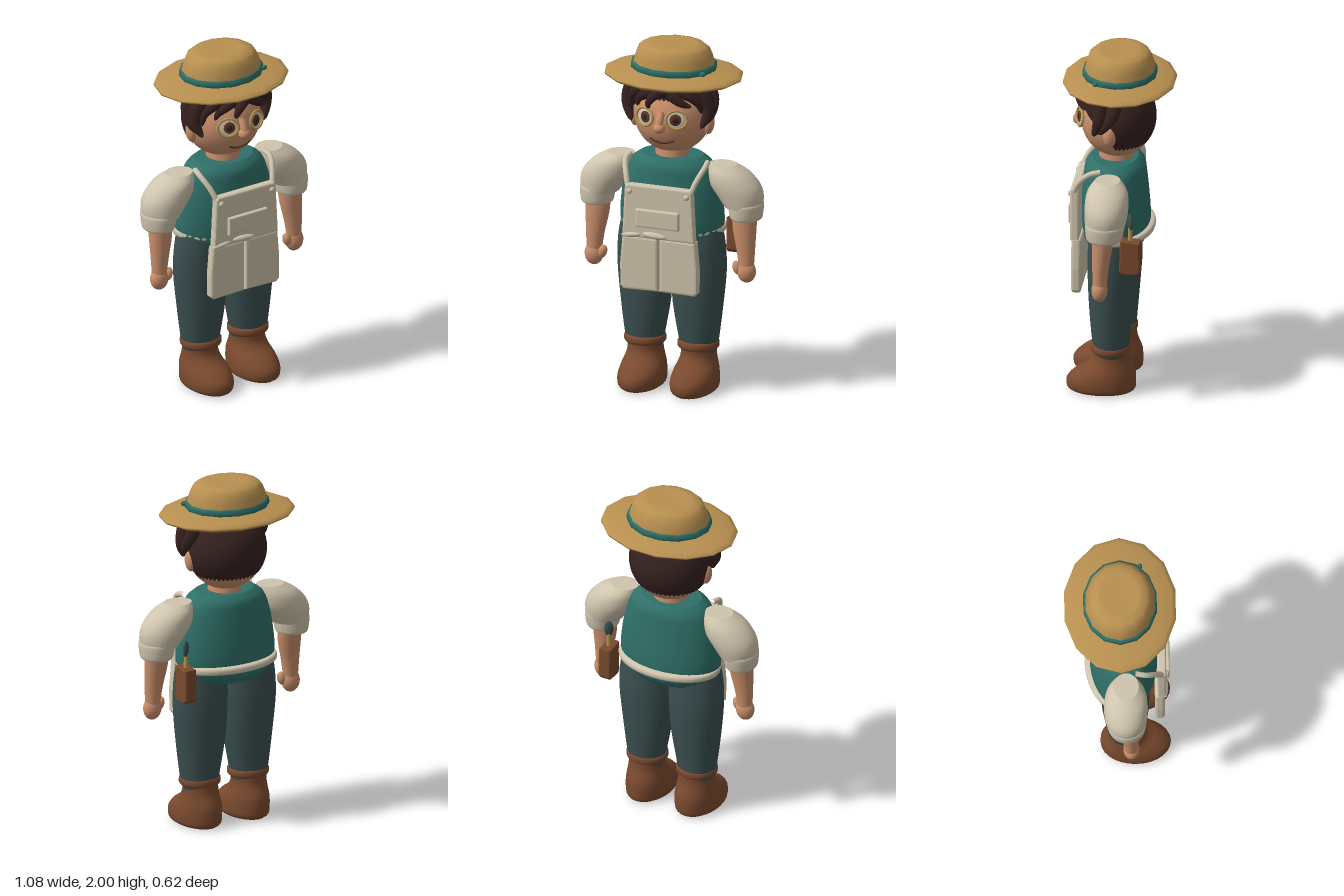
import * as THREE from 'three';

const mat = (name, color) => Object.assign(new THREE.MeshStandardMaterial({ color }), { name });

export function createModel() {
  const skin = mat('skin', 0xc98f6b), hair = mat('dark hair', 0x35211f), straw = mat('straw', 0xb89050);
  const teal = mat('teal cloth', 0x2f7068), cream = mat('cream cloth', 0xcfc4ad), denim = mat('trouser cloth', 0x3b4f50);
  const leather = mat('brown leather', 0x7a4a2e), iris = mat('iris brown', 0x5a3626);
  const model = new THREE.Group();
  model.name = 'gardener';

  const add = (name, geometry, material, pos = [0, 0, 0], rot = [0, 0, 0], scale = [1, 1, 1]) => {
    const mesh = new THREE.Mesh(geometry, material);
    mesh.name = name;
    mesh.position.set(...pos);
    mesh.rotation.set(...rot);
    mesh.scale.set(...scale);
    model.add(mesh);
    return mesh;
  };
  const ball = (name, material, pos, radii, rot) =>
    add(name, new THREE.SphereGeometry(1, 28, 20), material, pos, rot, radii);

  // Closed body through horizontal ellipses, each [y, centre x, centre z, radius x, radius z], bottom to top
  const loft = (name, material, rings, sides = 28) => {
    const centres = new THREE.CatmullRomCurve3(rings.map(r => new THREE.Vector3(r[1], r[0], r[2])), false, 'catmullrom');
    const radii = new THREE.CatmullRomCurve3(rings.map(r => new THREE.Vector3(r[3], r[4], 0)), false, 'catmullrom');
    const steps = (rings.length - 1) * 3, pos = [], index = [];
    const ring = t => {
      const c = centres.getPoint(t), r = radii.getPoint(t), start = pos.length / 3;
      for (let i = 0; i < sides; i++) {
        const a = i / sides * Math.PI * 2;
        pos.push(c.x + r.x * Math.cos(a), c.y, c.z + r.y * Math.sin(a));
      }
      return start;
    };
    for (let s = 0; s <= steps; s++) {
      const b = ring(s / steps);
      for (let i = 0; i < sides && s < steps; i++) {
        const p = b + i, n = b + (i + 1) % sides;
        index.push(p, p + sides, n, n, p + sides, n + sides);
      }
    }
    for (const t of [0, 1]) {
      const b = ring(t), c = centres.getPoint(t), m = pos.length / 3;
      pos.push(c.x, c.y, c.z);
      for (let i = 0; i < sides; i++) {
        const p = b + i, n = b + (i + 1) % sides;
        index.push(m, t ? n : p, t ? p : n);
      }
    }
    const g = new THREE.BufferGeometry();
    g.setAttribute('position', new THREE.Float32BufferAttribute(pos, 3));
    g.setIndex(index);
    g.computeVertexNormals();
    return add(name, g, material);
  };

  // Tube that swells and tapers along a curve
  const lock = (name, material, points, radius, width = t => Math.sqrt(Math.max(0, Math.min(1, t * 4 + 0.2) * (1 - t)))) => {
    const curve = new THREE.CatmullRomCurve3(points.map(p => new THREE.Vector3(...p)));
    const g = new THREE.TubeGeometry(curve, 16, radius, 10);
    const p = g.attributes.position, v = new THREE.Vector3();
    for (let i = 0; i < p.count; i++) {
      const t = Math.floor(i / 11) / 16, c = curve.getPointAt(t);
      v.fromBufferAttribute(p, i).sub(c).multiplyScalar(width(t)).add(c);
      p.setXYZ(i, v.x, v.y, v.z);
    }
    return add(name, g, material);
  };

  // Soft-edged plate from a front outline, its back at z
  const plate = (name, material, outline, z, depth, bevel = 0.012) => {
    const shape = new THREE.Shape(outline.map(p => new THREE.Vector2(...p)));
    const g = new THREE.ExtrudeGeometry(shape, {
      depth: depth - 2 * bevel, bevelThickness: bevel, bevelSize: bevel, bevelOffset: -bevel, bevelSegments: 3
    });
    return add(name, g, material, [0, 0, z + bevel]);
  };
  const lathe = (name, material, profile, zScale) =>
    add(name, new THREE.LatheGeometry(profile.map(p => new THREE.Vector2(...p)), 14, Math.PI / 2), material, [0, 0, 0], [0, 0, 0], [1, 1, zScale]);

  // Torso and neck
  loft('shirt', teal, [[0.85, 0, 0.02, 0.23, 0.15], [0.9, 0, 0.02, 0.285, 0.18], [1.0, 0, 0.02, 0.303, 0.19],
    [1.15, 0, 0.025, 0.288, 0.185], [1.25, 0, 0.025, 0.265, 0.175], [1.32, 0, 0.025, 0.232, 0.165], [1.36, 0, 0.025, 0.18, 0.13]], 36);
  add('neck', new THREE.CylinderGeometry(0.09, 0.1, 0.1, 24), skin, [0, 1.38, 0.02]);

  for (const s of [-1, 1]) {
    const side = s > 0 ? 'left' : 'right';
    // Arms
    loft(side + 'Sleeve', cream, [[1.1, s * 0.425, 0.03, 0.108, 0.11], [1.16, s * 0.405, 0.027, 0.133, 0.12], [1.22, s * 0.375, 0.027, 0.145, 0.122],
      [1.285, s * 0.34, 0.028, 0.12, 0.11], [1.332, s * 0.302, 0.03, 0.08, 0.07]]);
    loft(side + 'SleeveCuff', cream, [[1.03, s * 0.442, 0.032, 0.085, 0.095], [1.045, s * 0.442, 0.032, 0.092, 0.102],
      [1.11, s * 0.44, 0.03, 0.1, 0.11], [1.125, s * 0.44, 0.03, 0.094, 0.104]]);
    loft(side + 'Forearm', skin, [[0.74, s * 0.452, 0.056, 0.042, 0.038], [0.85, s * 0.447, 0.053, 0.053, 0.045],
      [0.97, s * 0.437, 0.045, 0.068, 0.056], [1.08, s * 0.435, 0.035, 0.072, 0.065]]);
    ball(side + 'Hand', skin, [s * 0.453, 0.725, 0.057], [0.054, 0.066, 0.045]);
    ball(side + 'Thumb', skin, [s * 0.4, 0.742, 0.065], [0.026, 0.04, 0.026], [0, 0, s * 0.3]);

    // Legs and boots
    loft(side + 'TrouserLeg', denim, [[0.22, s * 0.158, 0.025, 0.1, 0.096], [0.3, s * 0.16, 0.03, 0.115, 0.105], [0.5, s * 0.155, 0.03, 0.145, 0.122],
      [0.7, s * 0.158, 0.027, 0.16, 0.133], [0.85, s * 0.155, 0.03, 0.158, 0.13], [0.96, s * 0.15, 0.03, 0.145, 0.12]]);
    loft(side + 'BootCuff', leather, [[0.238, s * 0.158, 0.032, 0.106, 0.102], [0.25, s * 0.158, 0.032, 0.118, 0.112],
      [0.275, s * 0.158, 0.032, 0.118, 0.112], [0.287, s * 0.158, 0.032, 0.108, 0.104]]);
    loft(side + 'Boot', leather, [[0, s * 0.156, 0.085, 0.105, 0.17], [0.02, s * 0.156, 0.085, 0.127, 0.192], [0.07, s * 0.156, 0.083, 0.13, 0.194],
      [0.12, s * 0.156, 0.06, 0.122, 0.168], [0.16, s * 0.157, 0.035, 0.109, 0.128], [0.2, s * 0.158, 0.026, 0.101, 0.104], [0.25, s * 0.158, 0.026, 0.1, 0.1]]);

    // Apron strap, button and skirt panel
    lock(side + 'ApronStrap', cream, [[s * 0.185, 1.2, 0.235], [s * 0.21, 1.27, 0.2], [s * 0.235, 1.33, 0.14], [s * 0.23, 1.345, 0.08]], 0.016, () => 1);
    ball(side + 'ApronButton', cream, [s * 0.17, 1.185, 0.258], [0.016, 0.016, 0.012]);
    plate(side + 'ApronSkirt', cream, [[s * 0.003, 0.92], [s * 0.003, 0.605], [s * 0.21, 0.6], [s * 0.23, 0.62], [s * 0.232, 0.75], [s * 0.218, 0.92]], 0.192, 0.055, 0.016);

    // Ear and eye with its spectacle rim
    ball(side + 'Ear', skin, [s * 0.222, 1.555, 0.03], [0.028, 0.06, 0.036], [0, 0, -s * 0.12]);
    const eye = new THREE.Group();
    eye.name = side + 'Eye';
    eye.position.set(s * 0.092, 1.618, 0.205);
    eye.rotation.set(-0.12, s * 0.38, 0, 'YXZ');
    for (const [name, m, r, z] of [['eyeWhite', cream, 0.055, 0.002], ['iris', iris, 0.034, 0.007], ['pupil', hair, 0.018, 0.012]]) {
      const disc = add(name, new THREE.SphereGeometry(1, 24, 12), m, [name === 'eyeWhite' ? 0 : -s * 0.006, 0, z], [0, 0, 0], [r, r, 0.009]);
      eye.add(disc);
    }
    eye.add(add('spectacleRim', new THREE.TorusGeometry(0.056, 0.008, 10, 32), straw, [0, 0, 0.008], [0, 0, 0], [1.06, 0.92, 1]));
    model.add(eye);

    // Hair beside the face
    lock(side + 'TempleHair', hair, [[s * 0.17, 1.8, 0.1], [s * 0.225, 1.72, 0.09], [s * 0.24, 1.65, 0.09], [s * 0.205, 1.55, 0.125]], 0.055);
    lock(side + 'EarHair', hair, [[s * 0.2, 1.77, 0.0], [s * 0.235, 1.7, 0.01], [s * 0.245, 1.63, 0.05], [s * 0.225, 1.57, 0.09]], 0.045);
  }

  // Apron bib, pocket, waistband and knot
  plate('apronBib', cream, [[-0.215, 0.915], [0.215, 0.915], [0.2, 1.21], [0.188, 1.225], [-0.188, 1.225], [-0.2, 1.21]], 0.205, 0.05);
  plate('bibPocket', cream, [[-0.128, 0.985], [0.128, 0.985], [0.128, 1.09], [-0.128, 1.09]], 0.245, 0.03, 0.009);
  loft('waistband', cream, [[0.92, 0, 0.012, 0.285, 0.18], [0.928, 0, 0.005, 0.304, 0.2], [0.958, 0, 0.005, 0.306, 0.2], [0.966, 0, 0.012, 0.29, 0.18]], 40);
  ball('apronKnot', cream, [-0.02, 0.938, 0.255], [0.072, 0.019, 0.02], [0, 0, -0.08]);
  ball('apronKnotEnd', cream, [-0.16, 0.93, 0.25], [0.06, 0.015, 0.016], [0, 0, 0.12]);

  // Tool pouch at the left hip with a small trowel
  const pouch = new THREE.Shape();
  pouch.moveTo(-0.05, 0.99).lineTo(0.055, 0.98).lineTo(0.058, 0.81).lineTo(0.04, 0.79).lineTo(-0.04, 0.79).lineTo(-0.055, 0.81);
  add('toolPouch', new THREE.ExtrudeGeometry(pouch, { depth: 0.05, bevelThickness: 0.012, bevelSize: 0.008, bevelOffset: -0.005, bevelSegments: 2 }),
    leather, [0.305, 0, -0.098], [0, Math.PI / 2, 0]);
  add('trowelHandle', new THREE.CylinderGeometry(0.011, 0.014, 0.12, 12), straw, [0.33, 1.02, -0.1]);
  ball('trowelBlade', denim, [0.33, 1.095, -0.1], [0.026, 0.048, 0.014], [0, 0.6, 0]);

  // Head, nose and mouth
  ball('head', skin, [0, 1.588, 0.01], [0.22, 0.218, 0.208]);
  ball('noseTip', skin, [0, 1.567, 0.232], [0.034, 0.031, 0.033]);
  lock('noseBridge', skin, [[0, 1.65, 0.2], [0, 1.61, 0.225], [0, 1.565, 0.24]], 0.022, () => 1);
  const smile = [-0.072, -0.04, 0, 0.04, 0.072].map(x => {
    const y = 1.466 + x * x * 4;
    return [x, y, 0.013 + 0.208 * Math.sqrt(1 - (x / 0.22) ** 2 - ((y - 1.588) / 0.218) ** 2)];
  });
  lock('mouth', iris, smile, 0.006, () => 1);

  // Hair cap: a dome whose lower edge rises from the nape to the forehead
  const cap = new THREE.SphereGeometry(1, 48, 20), cp = cap.attributes.position, cu = cap.attributes.uv;
  for (let i = 0; i < cp.count; i++) {
    const phi = (cu.getX(i) - 0.5) * Math.PI * 2;
    const front = THREE.MathUtils.smoothstep(Math.cos(phi), -0.1, 0.55);
    const theta = (1 - cu.getY(i)) * Math.acos(THREE.MathUtils.lerp(-0.62, 0.5, front));
    cp.setXYZ(i, Math.sin(theta) * Math.sin(phi), Math.cos(theta), Math.sin(theta) * Math.cos(phi));
    cap.attributes.normal.setXYZ(i, cp.getX(i), cp.getY(i), cp.getZ(i));
  }
  const capMaterial = hair;
  capMaterial.side = THREE.DoubleSide;
  cap.index.array.reverse();
  cap.setIndex(Array.from(cap.index.array).reverse());
  add('hairCap', cap, capMaterial, [0, 1.6, 0.012], [0, 0, 0], [0.236, 0.228, 0.216]);

  // Fringe
  const fringe = [
    [[0.06, 1.79, 0.19], [-0.02, 1.765, 0.245], [-0.06, 1.71, 0.25], [-0.06, 1.675, 0.235]],
    [[0.0, 1.8, 0.17], [-0.08, 1.76, 0.205], [-0.14, 1.71, 0.185], [-0.155, 1.66, 0.165]],
    [[-0.06, 1.8, 0.15], [-0.15, 1.76, 0.165], [-0.2, 1.7, 0.135], [-0.21, 1.62, 0.12]],
    [[0.01, 1.8, 0.18], [0.07, 1.755, 0.21], [0.12, 1.715, 0.2], [0.17, 1.69, 0.17]],
    [[0.06, 1.8, 0.16], [0.15, 1.76, 0.17], [0.2, 1.7, 0.14], [0.21, 1.64, 0.12]]
  ];
  fringe.forEach((points, i) => lock('fringeLock' + (i + 1), hair, points, 0.042));

  // Straw hat
  lathe('hatBrim', straw, [[0.001, 1.8], [0.27, 1.79], [0.37, 1.8], [0.398, 1.814], [0.4, 1.825], [0.37, 1.838], [0.3, 1.85], [0.23, 1.862]], 0.795);
  lathe('hatCrown', straw, [[0.238, 1.85], [0.234, 1.885], [0.222, 1.93], [0.205, 1.97], [0.18, 1.99], [0.145, 1.999], [0.13, 2.0], [0.001, 1.997]], 0.85);
  lathe('hatBand', teal, [[0.23, 1.852], [0.247, 1.856], [0.245, 1.888], [0.23, 1.892]], 0.85);
  ball('hatBandKnot', teal, [0.213, 1.87, 0.112], [0.018, 0.014, 0.014]);
  return model;
}
